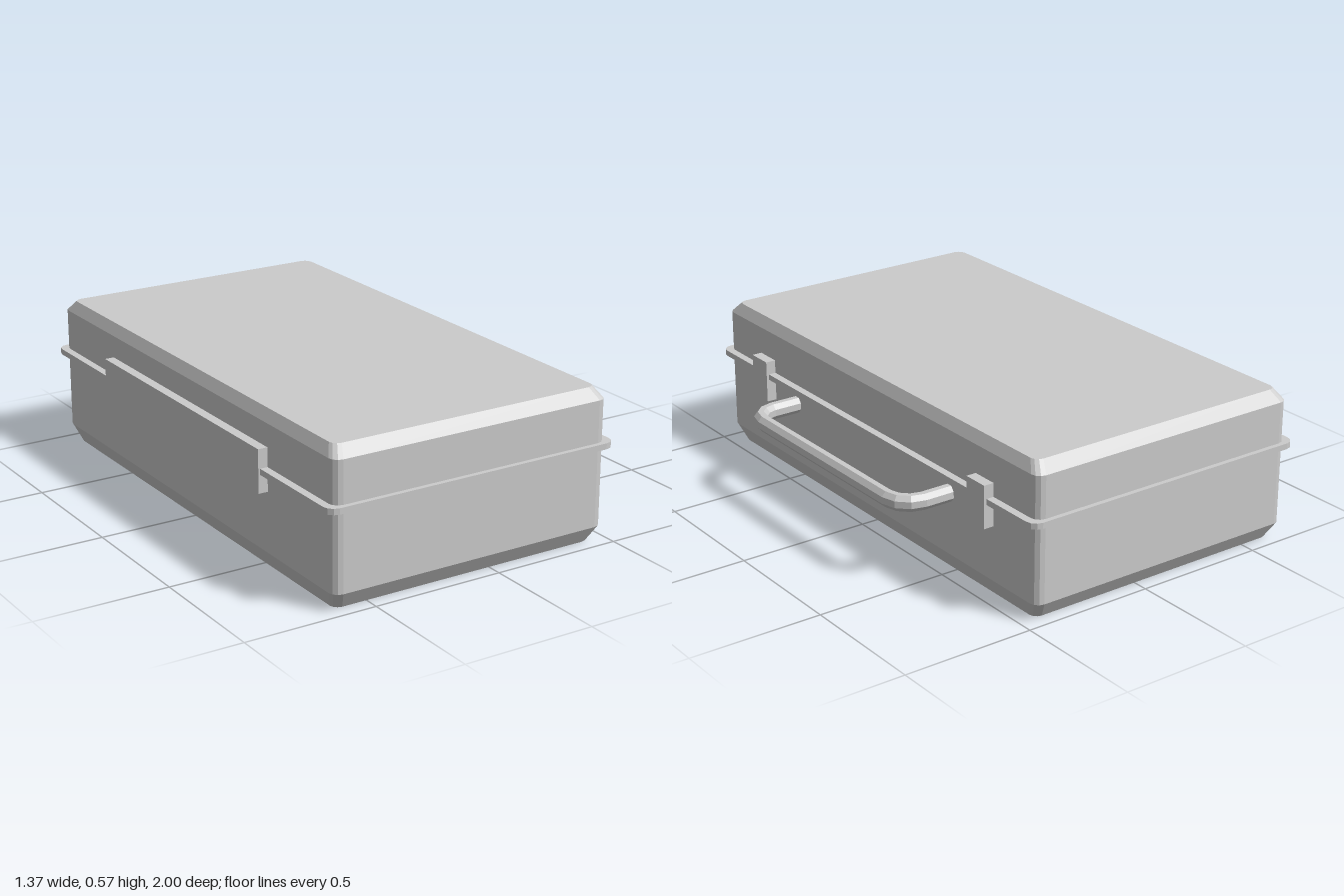
import * as THREE from 'three';

const material = new THREE.MeshStandardMaterial({ color: 0xcccccc, flatShading: true });
const CENTRE_X = -0.095; // the case sits off-centre to make room for the handle

// Skin a series of equal-length rings and close both ends.
function loft(rings) {
  const n = rings[0].length;
  const points = rings.flat();
  const index = [];
  for (let i = 0; i < rings.length - 1; i++) {
    for (let k = 0; k < n; k++) {
      const a = i * n + k, b = i * n + (k + 1) % n;
      index.push(a, a + n, b, b, a + n, b + n);
    }
  }
  const last = (rings.length - 1) * n;
  for (let k = 1; k < n - 1; k++) {
    index.push(0, k, k + 1, last, last + k + 1, last + k);
  }
  const geometry = new THREE.BufferGeometry().setFromPoints(points);
  geometry.setIndex(index);
  const flat = geometry.toNonIndexed();
  flat.computeVertexNormals();
  return flat;
}

// Horizontal rounded rectangle at height y.
function roundedRing(y, halfX, halfZ, radius, steps = 3) {
  const ring = [];
  [[1, 1], [-1, 1], [-1, -1], [1, -1]].forEach(([sx, sz], corner) => {
    for (let s = 0; s <= steps; s++) {
      const a = (corner + s / steps) * Math.PI / 2;
      ring.push(new THREE.Vector3(
        CENTRE_X + sx * (halfX - radius) + radius * Math.cos(a),
        y,
        sz * (halfZ - radius) + radius * Math.sin(a)));
    }
  });
  return ring;
}

// Eight-sided bar swept along a U-shaped path in a horizontal plane.
function handleGeometry() {
  const y = 0.3, halfHeight = 0.03, halfWidth = 0.026;
  const outX = 0.657, outZ = 0.492, bend = 0.085, steps = 3;
  const path = [{ x: 0.45, z: -outZ, a: 0 }];
  for (const side of [-1, 1]) {
    for (let s = 0; s <= steps; s++) {
      const a = (s / steps + (side + 1) / 2) * Math.PI / 2;
      path.push({
        x: outX - bend + bend * Math.sin(a),
        z: side * (outZ - bend) - bend * Math.cos(a),
        a,
      });
    }
  }
  path.push({ x: 0.45, z: outZ, a: Math.PI });
  const grow = 1 / Math.cos(Math.PI / 8);
  return loft(path.map(({ x, z, a }) => {
    const ring = [];
    for (let k = 0; k < 8; k++) {
      const t = (k + 0.5) * Math.PI / 4;
      const w = halfWidth * grow * Math.sin(t);
      ring.push(new THREE.Vector3(
        x + w * Math.sin(a), y + halfHeight * grow * Math.cos(t), z - w * Math.cos(a)));
    }
    return ring;
  }));
}

export function createModel() {
  const model = new THREE.Group();
  model.name = 'carryCase';

  const add = (name, geometry) => {
    const mesh = new THREE.Mesh(geometry, material);
    mesh.name = name;
    model.add(mesh);
    return mesh;
  };
  const addBox = (name, min, max) => {
    const size = max.map((v, i) => v - min[i]);
    add(name, new THREE.BoxGeometry(...size))
      .position.set(...max.map((v, i) => (v + min[i]) / 2));
  };

  // Lower shell with a bevelled base
  add('lowerShell', loft([
    roundedRing(0, 0.53, 0.942, 0.03),
    roundedRing(0.065, 0.556, 0.982, 0.035),
    roundedRing(0.367, 0.556, 0.982, 0.035),
  ]));

  // Lid with a bevelled top
  add('lid', loft([
    roundedRing(0.367, 0.556, 0.982, 0.035),
    roundedRing(0.535, 0.556, 0.982, 0.035),
    roundedRing(0.575, 0.532, 0.942, 0.03),
  ]));

  // Rim around the seam
  add('rim', loft([
    roundedRing(0.357, 0.585, 1, 0.04),
    roundedRing(0.379, 0.585, 1, 0.04),
  ]));

  // Latches either side of the handle
  for (const side of [-1, 1]) {
    const z = side * 0.695;
    addBox(side > 0 ? 'frontLatch' : 'backLatch', [0.44, 0.27, z - 0.05], [0.5, 0.43, z + 0.05]);
  }

  // Long hinge on the opposite side
  addBox('hinge', [-0.687, 0.29, -0.565], [-0.63, 0.45, 0.565]);

  // Carrying handle
  add('handle', handleGeometry());

  return model;
}
